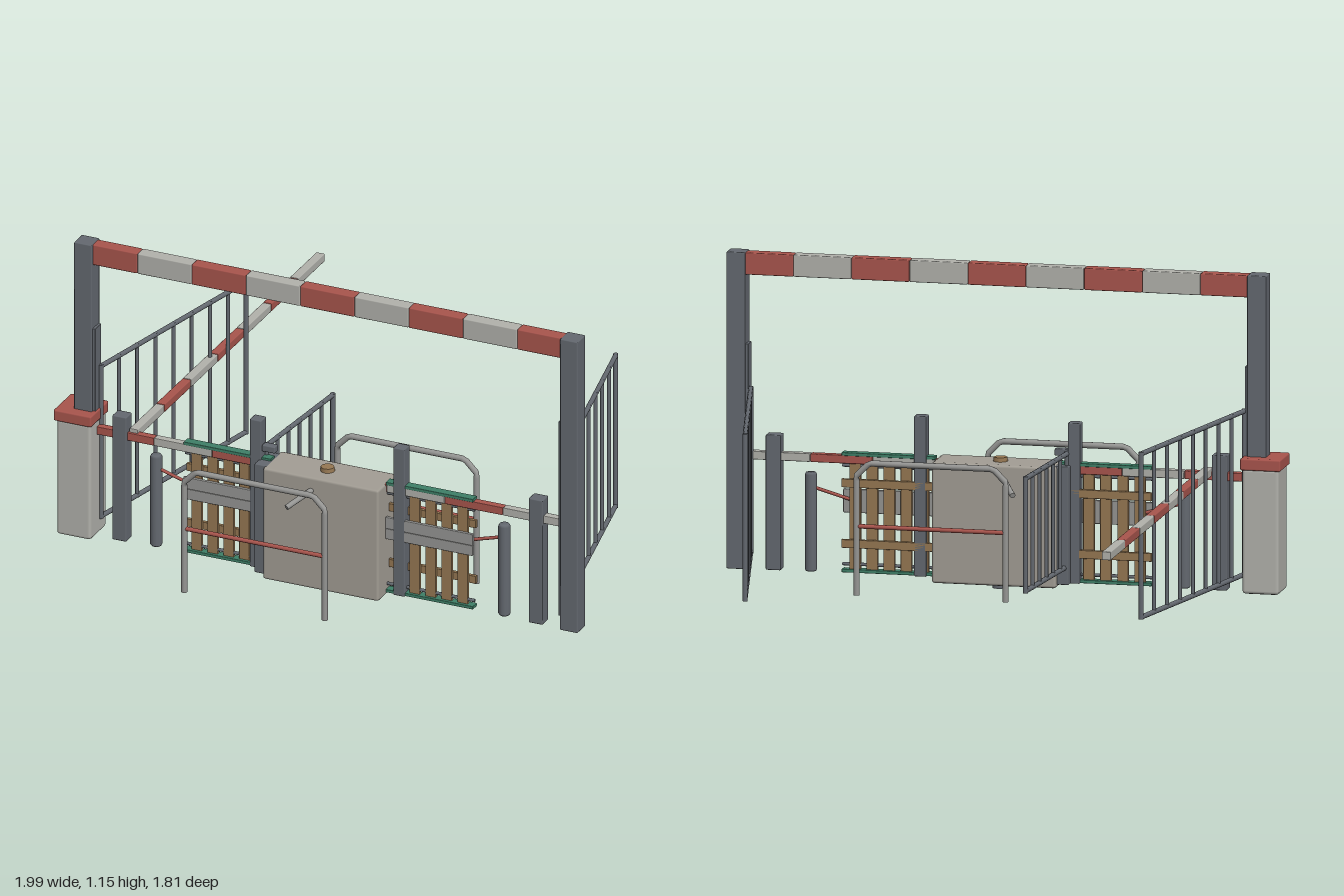
import * as THREE from 'three';
import { RoundedBoxGeometry } from 'three/addons/geometries/RoundedBoxGeometry.js';

const mat = (color) => new THREE.MeshStandardMaterial({ color });
const M = {
  pale: mat(0xb2b2ac), steel: mat(0x646970), red: mat(0xa9554d), tube: mat(0x969694),
  cabinet: mat(0xa39e95), wood: mat(0x967853), green: mat(0x3f8068),
};
const Z = 0.645; // depth of the barrier line
const V = (x, y, z) => new THREE.Vector3(x, y, z);

export function createModel() {
  const root = new THREE.Group();
  root.name = 'checkpointBarrier';

  const add = (name, geometry, material, parent = root) => {
    const mesh = new THREE.Mesh(geometry, material);
    mesh.name = name;
    parent.add(mesh);
    return mesh;
  };
  const group = (name) => {
    const g = new THREE.Group();
    g.name = name;
    root.add(g);
    return g;
  };
  // Box given by its limits on each axis, with a small bevel
  const box = (name, material, [x0, x1], [y0, y1], [z0, z1], parent = root, bevel = 0.004) => {
    const mesh = add(name, new RoundedBoxGeometry(x1 - x0, y1 - y0, z1 - z0, 1, bevel), material, parent);
    mesh.position.set((x0 + x1) / 2, (y0 + y1) / 2, (z0 + z1) / 2);
    return mesh;
  };
  // Round bar between two points
  const rod = (name, material, a, b, r, parent = root) => {
    const mesh = add(name, new THREE.CylinderGeometry(r, r, a.distanceTo(b), 10), material, parent);
    mesh.position.copy(a).lerp(b, 0.5);
    mesh.quaternion.setFromUnitVectors(V(0, 1, 0), b.clone().sub(a).normalize());
    return mesh;
  };

  // Tall portal posts with hinge strips
  for (const [x, inner] of [[-0.903, 1], [0.96, -1]]) {
    box('portalPost', M.steel, [x - 0.034, x + 0.034], [0.03, 1.155], [0.612, 0.68]);
    const h = x + inner * 0.038;
    box('hingeStrip', M.steel, [h - 0.006, h + 0.006], [0.08, 0.83], [0.62, 0.67], root, 0.002);
  }

  // Striped overhead beam
  const beam = group('overheadBeam');
  for (let i = 0; i < 9; i++) {
    const x = -0.907 + i * 0.208;
    box('beamSegment', i % 2 ? M.pale : M.red, [x, x + 0.207], [1.075, 1.153], [0.62, 0.669], beam);
  }

  // Barrier drive housing with red cap
  box('driveHousing', M.pale, [-0.99, -0.858], [0.03, 0.475], [0.577, 0.713], root, 0.012);
  box('driveCap', M.red, [-0.998, -0.853], [0.47, 0.512], [0.57, 0.72], root, 0.006);

  // Striped booms: one across the line, one swung to the back
  const cross = group('crossBoom');
  for (let i = 0; i < 8; i++) {
    const x = -0.863 + i * 0.223;
    box('boomSegment', i % 2 ? M.pale : M.red, [x, x + 0.222], [0.418, 0.448], [Z - 0.015, Z + 0.015], cross, 0.003);
  }
  const swung = group('swungBoom');
  for (let i = 0; i < 7; i++) {
    const z = 0.65 - i * 0.223;
    box('boomSegment', i % 2 ? M.red : M.pale, [-0.738, -0.706], [0.432, 0.462], [z - 0.222, z], swung, 0.003);
  }

  // Barred gates, a frame with evenly spaced uprights
  const gate = (name, [xa, za], [xb, zb], top, spaces) => {
    const g = group(name);
    const at = (t, y) => V(xa + (xb - xa) * t, y, za + (zb - za) * t);
    for (const y of [0.09, top]) rod('gateRail', M.steel, at(0, y), at(1, y), 0.009, g);
    for (let i = 0; i <= spaces; i++) {
      const t = i / spaces;
      rod('gateBar', M.steel, at(t, 0.083), at(t, top + 0.007), i % spaces ? 0.007 : 0.009, g);
    }
  };
  gate('leftSideGate', [0.91, 0.63], [0.737, -0.197], 0.67, 8);
  gate('rightSideGate', [-0.856, 0.63], [-0.68, -0.197], 0.67, 8);
  gate('pedestrianGate', [-0.222, 0.628], [-0.182, 0.163], 0.49, 6);

  // Square bollards, turnstile posts, round bollards and red links
  for (const x of [-0.768, 0.828]) {
    box('squareBollard', M.steel, [x - 0.027, x + 0.027], [0.03, 0.51], [Z - 0.025, Z + 0.025]);
  }
  for (const x of [-0.247, 0.303]) {
    box('turnstilePost', M.steel, [x - 0.022, x + 0.022], [0.03, 0.6], [Z - 0.022, Z + 0.022]);
  }
  const bollardProfile = [[0, 0.03], [0.018, 0.03], [0.022, 0.036], [0.022, 0.372], [0.017, 0.38], [0, 0.38]]
    .map(([r, y]) => new THREE.Vector2(r, y));
  for (const [x, end] of [[-0.637, -0.5], [0.698, 0.56]]) {
    add('roundBollard', new THREE.LatheGeometry(bollardProfile, 12), M.steel).position.set(x, 0, Z);
    rod('redLink', M.red, V(x, 0.33, Z), V(end, 0.29, Z), 0.006);
  }

  // Pallet barricades on both sides of the cabinet
  for (const x0 of [-0.525, 0.25]) {
    const g = group('palletBarricade');
    const x1 = x0 + 0.335;
    for (let i = 0; i < 5; i++) {
      const x = x0 + 0.025 + i * 0.061;
      box('palletSlat', M.wood, [x, x + 0.04], [0.035, 0.43], [0.637, 0.651], g, 0.002);
    }
    for (const y of [0.135, 0.35]) {
      box('palletRail', M.wood, [x0, x1], [y - 0.015, y + 0.015], [0.623, 0.637], g, 0.002);
    }
    for (const y of [0.038, 0.452]) {
      box('greenEdge', M.green, [x0, x1], [y - 0.006, y + 0.006], [0.628, 0.662], g, 0.002);
    }
    for (const y of [0.06, 0.41]) {
      rod('frameBar', M.steel, V(x0, y, Z), V(x1, y, Z), 0.006, g);
    }
    // Folded guard rail in front
    for (const [y, h, z] of [[0.302, 0.022, 0.666], [0.26, 0.02, 0.666], [0.282, 0.01, 0.66]]) {
      box('guardRail', M.tube, [x0, x1], [y - h, y + h], [0.652, z], g, 0.003);
    }
  }

  // Turnstile cabinet with side housing, hub and arms
  box('cabinet', M.cabinet, [-0.195, 0.25], [0.02, 0.45], [0.567, 0.722], root, 0.01);
  box('cabinetSideHousing', M.steel, [-0.235, -0.185], [0.03, 0.45], [0.592, 0.703]);
  box('cardReader', M.steel, [-0.226, -0.176], [0.48, 0.505], [0.63, 0.66]);
  add('topHub', new THREE.CylinderGeometry(0.024, 0.026, 0.018, 10), M.wood).position.set(0.02, 0.456, Z);
  add('bottomHub', new THREE.CylinderGeometry(0.024, 0.024, 0.025, 10), M.steel).position.set(0.025, 0.0125, Z);
  for (const s of [-1, 1]) {
    rod('turnstileArm', M.tube, V(0, 0.405, Z + s * 0.06), V(-0.062, 0.362, Z + s * 0.165), 0.01);
  }

  // Bent tube hoops with a red middle bar
  for (const [x0, x1, z] of [[-0.417, 0.122, 0.89], [-0.055, 0.478, 0.4]]) {
    const g = group('guardHoop');
    const path = new THREE.CurvePath();
    const pts = [[x0, 0], [x0, 0.425], [x0 + 0.045, 0.47], [x1 - 0.045, 0.47], [x1, 0.425], [x1, 0]]
      .map(([x, y]) => V(x, y, z));
    for (let i = 0; i < pts.length - 1; i++) path.add(new THREE.LineCurve3(pts[i], pts[i + 1]));
    add('hoopTube', new THREE.TubeGeometry(path, 80, 0.011, 10), M.tube, g);
    rod('hoopBar', M.red, V(x0, 0.245, z), V(x1, 0.245, z), 0.008, g);
  }

  return root;
}
